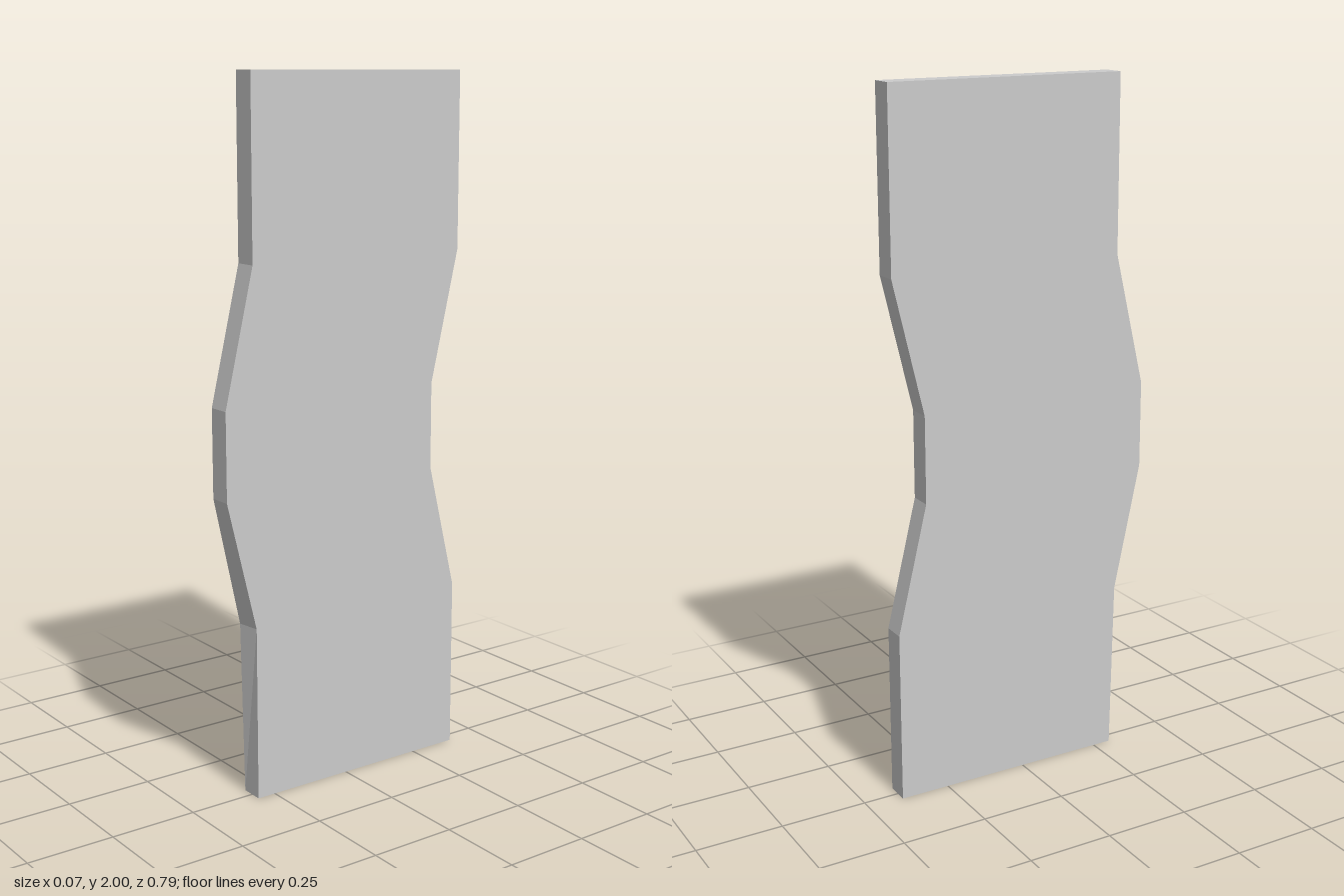
import * as THREE from 'three';

export function createModel() {
  const group = new THREE.Group();
  const thickness = 0.068;

  // Front edge of the panel as [z, y]; the back edge is the same line shifted in depth
  const edge = [[0.305, 0], [0.305, 0.5], [0.395, 0.87], [0.395, 1.12], [0.305, 1.5], [0.305, 2]];
  const depth = 0.7;
  const front = edge.map(([z, y]) => new THREE.Vector2(z, y));
  const back = edge.map(([z, y]) => new THREE.Vector2(z - depth, y)).reverse();
  const outline = new THREE.Shape([...front, ...back]);

  const geometry = new THREE.ExtrudeGeometry(outline, { depth: thickness, bevelEnabled: false });
  geometry.translate(0, 0, -thickness / 2);
  geometry.rotateY(-Math.PI / 2);

  // Slight skew of the slab, and one front corner pushed out on the right face
  const pos = geometry.attributes.position;
  for (let i = 0; i < pos.count; i++) {
    const x = pos.getX(i), y = pos.getY(i), z = pos.getZ(i);
    if (x < 0 && z > 0 && Math.abs(y - 0.5) < 0.01) pos.setZ(i, 0.315);
    pos.setX(i, x - 0.003 * z);
  }
  geometry.computeVertexNormals();

  const panel = new THREE.Mesh(
    geometry,
    new THREE.MeshStandardMaterial({ color: 0xcccccc, flatShading: true })
  );
  panel.name = 'wavyPanel';
  group.add(panel);
  return group;
}
